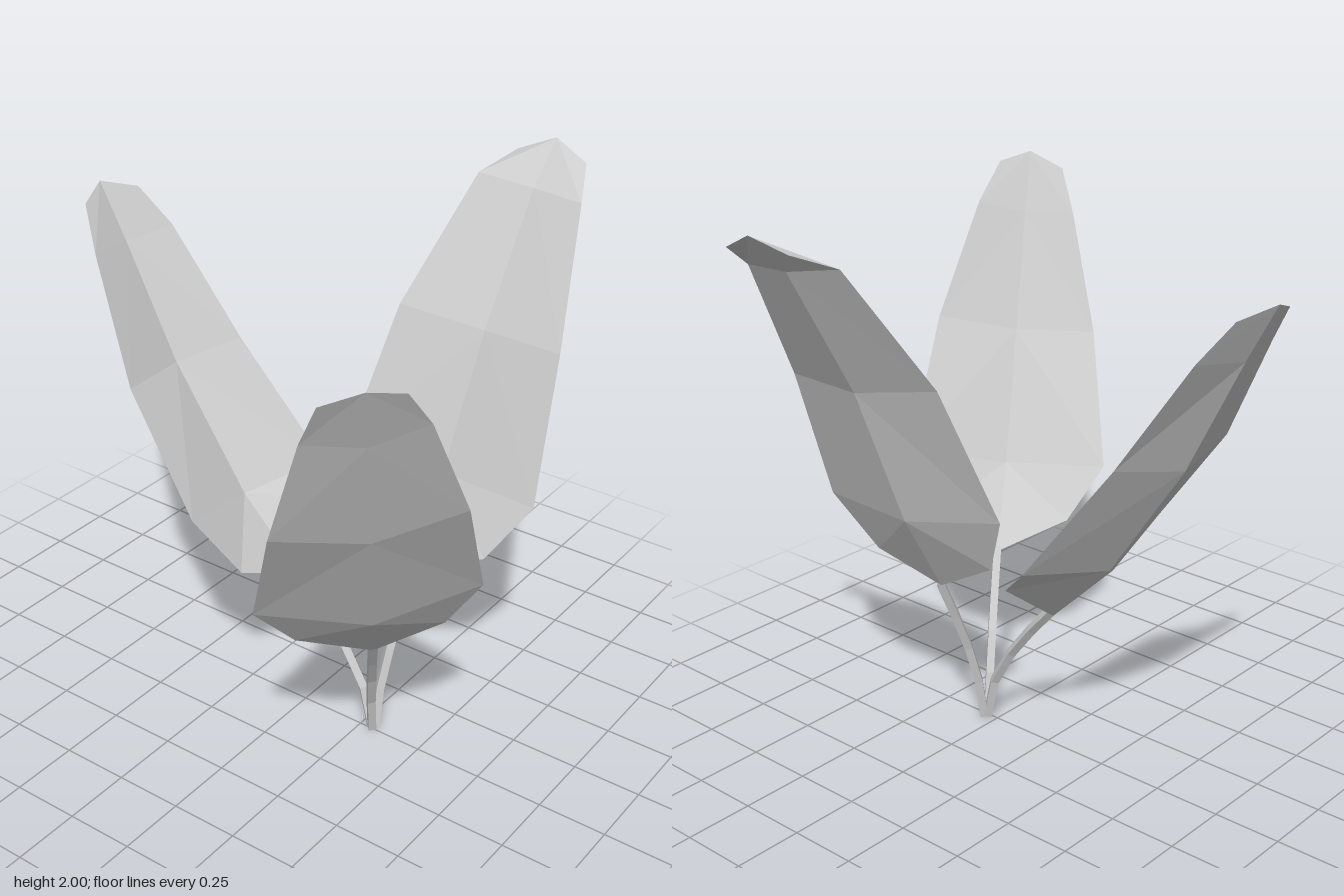
import * as THREE from 'three';

const material = new THREE.MeshStandardMaterial({ color: 0xcccccc, flatShading: true, side: THREE.DoubleSide });

// Leaf blade: rows of [edge, keel, edge] from stem to tip, joined by flat facets
function leafBlade(rows) {
  const index = [];
  for (let i = 0; i < rows.length - 1; i++) {
    const a = i * 3, b = a + 3;
    index.push(a, a + 1, b + 1, a, b + 1, b); // first half, folded along the keel
    index.push(a + 1, a + 2, b + 1, a + 2, b + 2, b + 1); // second half, mirrored diagonal
  }
  const geometry = new THREE.BufferGeometry();
  geometry.setAttribute('position', new THREE.Float32BufferAttribute(rows.flat(2), 3));
  geometry.setIndex(index);
  const flat = geometry.toNonIndexed();
  flat.computeVertexNormals();
  return new THREE.Mesh(flat, material);
}

// Stem: square tube bent at the given points
function leafStem(points) {
  const curve = new THREE.CatmullRomCurve3(points.map((p) => new THREE.Vector3(...p)));
  return new THREE.Mesh(new THREE.TubeGeometry(curve, 4, 0.02, 4), material);
}

const leaves = {
  backLeaf: {
    stem: [[0.01, 0.006, 0.29], [0.01, 0.17, 0.25], [0.01, 0.35, 0.14], [0.015, 0.56, -0.04]],
    rows: [
      [[-0.23, 0.64, -0.11], [0.02, 0.53, -0.04], [0.27, 0.72, -0.04]],
      [[-0.34, 0.86, -0.23], [0.02, 0.78, -0.29], [0.32, 0.83, -0.16]],
      [[-0.28, 1.25, -0.54], [0.02, 1.22, -0.59], [0.25, 1.26, -0.48]],
      [[-0.17, 1.65, -0.77], [0.02, 1.63, -0.8], [0.2, 1.65, -0.74]],
      [[-0.1, 1.79, -0.87], [0.02, 1.83, -0.91], [0.14, 1.79, -0.84]],
    ],
  },
  leftLeaf: {
    stem: [[0.02, 0.006, 0.3], [0.05, 0.18, 0.3], [0.1, 0.35, 0.31], [0.21, 0.61, 0.32]],
    rows: [
      [[0.21, 0.74, 0.08], [0.2, 0.6, 0.33], [0.27, 0.7, 0.57]],
      [[0.27, 0.96, -0.02], [0.38, 0.91, 0.32], [0.36, 0.91, 0.7]],
      [[0.47, 1.46, 0.06], [0.55, 1.41, 0.36], [0.54, 1.41, 0.66]],
      [[0.74, 1.89, 0.19], [0.79, 1.86, 0.38], [0.78, 1.85, 0.57]],
      [[0.88, 1.95, 0.26], [0.93, 2.0, 0.38], [0.91, 1.94, 0.51]],
    ],
  },
  rightLeaf: {
    stem: [[0.0, 0.006, 0.3], [-0.04, 0.18, 0.32], [-0.1, 0.33, 0.36], [-0.23, 0.57, 0.45]],
    rows: [
      [[-0.12, 0.69, 0.66], [-0.23, 0.55, 0.45], [-0.45, 0.65, 0.29]],
      [[-0.13, 0.9, 0.8], [-0.43, 0.82, 0.58], [-0.62, 0.83, 0.25]],
      [[-0.41, 1.35, 0.9], [-0.64, 1.28, 0.71], [-0.81, 1.28, 0.46]],
      [[-0.66, 1.75, 0.915], [-0.8, 1.7, 0.8], [-0.9, 1.7, 0.64]],
      [[-0.78, 1.89, 0.91], [-0.89, 1.92, 0.85], [-0.94, 1.86, 0.73]],
    ],
  },
};

export function createModel() {
  const model = new THREE.Group();
  model.name = 'plant';
  for (const [name, { stem, rows }] of Object.entries(leaves)) {
    const leaf = new THREE.Group();
    leaf.name = name;
    const blade = leafBlade(rows);
    blade.name = name + 'Blade';
    const stalk = leafStem(stem);
    stalk.name = name + 'Stem';
    leaf.add(blade, stalk);
    model.add(leaf);
  }
  return model;
}
